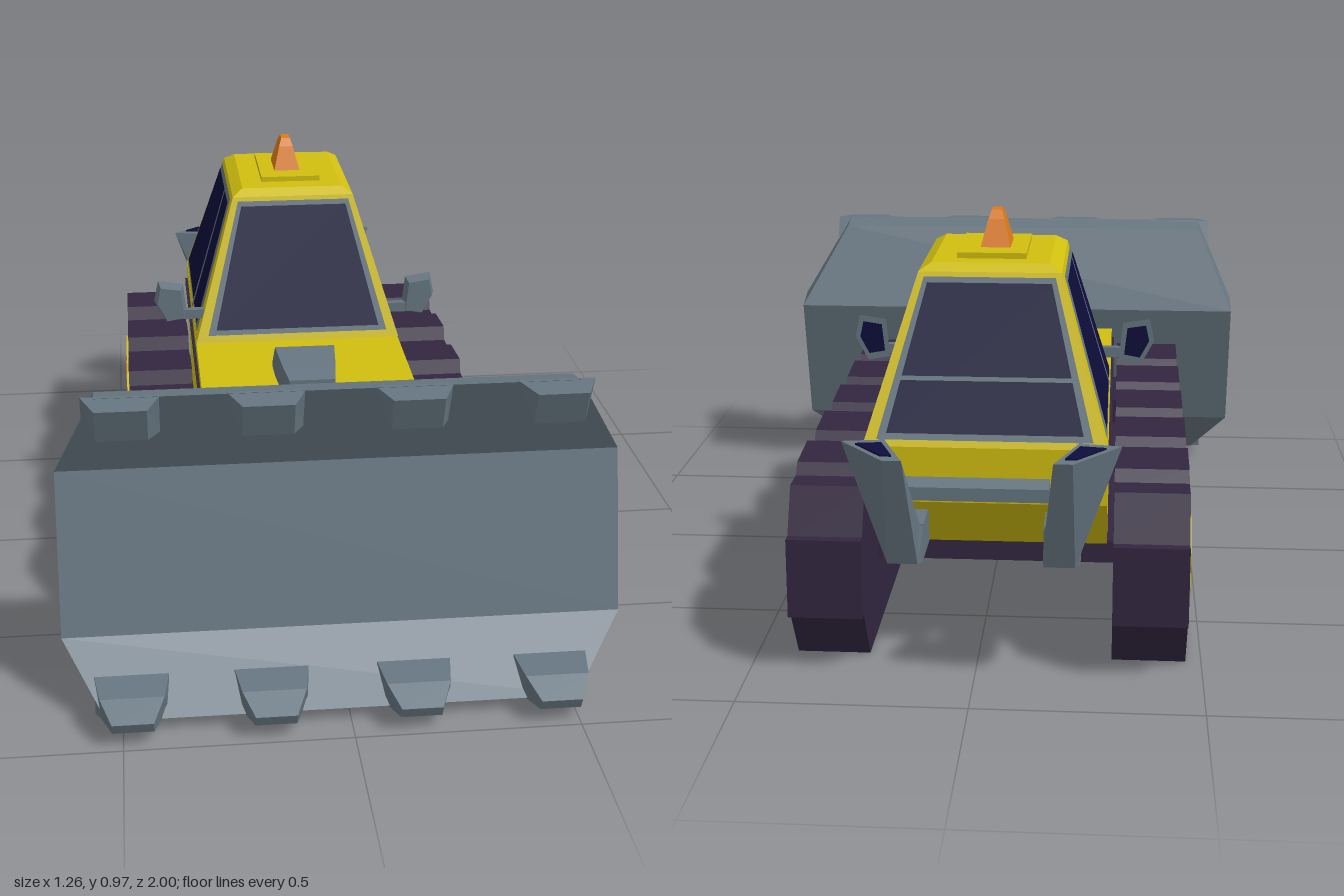
import * as THREE from 'three';

const mat = (name, color) => Object.assign(new THREE.MeshStandardMaterial({ color, flatShading: true }), { name });

export function createModel() {
  const yellow = mat('body yellow', 0xd0be10), steel = mat('steel grey', 0x667580);
  const dark = mat('track purple', 0x32263f), glass = mat('navy glass', 0x0d0d3a), orange = mat('orange', 0xdc7a14);
  const root = new THREE.Group();
  const CX = -0.02; // centre line of the machine

  const add = (name, geometry, material, parent = root) => {
    const m = new THREE.Mesh(geometry, material);
    m.name = name;
    parent.add(m);
    return m;
  };
  const fromTriangles = (tris) => {
    const g = new THREE.BufferGeometry();
    g.setAttribute('position', new THREE.Float32BufferAttribute(tris.flat(2), 3));
    g.computeVertexNormals();
    return g;
  };
  // closed solid through equal-sized rings of [x,y,z]; winding is corrected from its volume
  const loft = (rings) => {
    const t = [], n = rings[0].length;
    for (let r = 0; r < rings.length - 1; r++) for (let i = 0; i < n; i++) {
      const j = (i + 1) % n, a = rings[r], b = rings[r + 1];
      t.push([a[i], a[j], b[j]], [a[i], b[j], b[i]]);
    }
    const f = rings[0], l = rings[rings.length - 1];
    for (let i = 1; i < n - 1; i++) t.push([f[0], f[i + 1], f[i]], [l[0], l[i], l[i + 1]]);
    const vol = t.reduce((s, [a, b, c]) => s + a[0] * (b[1] * c[2] - b[2] * c[1])
      + a[1] * (b[2] * c[0] - b[0] * c[2]) + a[2] * (b[0] * c[1] - b[1] * c[0]), 0);
    return fromTriangles(vol < 0 ? t.map(([a, b, c]) => [a, c, b]) : t);
  };
  // convex [z,y] profile spread between two x positions
  const slab = (profile, x0, x1) => loft([x0, x1].map((x) => profile.map(([z, y]) => [x, y, z])));
  const box = (x0, x1, y0, y1, z0, z1) => slab([[z0, y0], [z1, y0], [z1, y1], [z0, y1]], x0, x1);
  const rect = (x0, x1, y, z0, z1) => [[x0, y, z1], [x1, y, z1], [x1, y, z0], [x0, y, z0]];

  // hull
  add('hull', slab([[0.47, 0.478], [-0.1, 0.495], [-0.775, 0.505], [-0.775, 0.38], [-0.58, 0.22], [0.47, 0.22]], -0.285, 0.25), yellow);
  add('underside', box(-0.3, 0.25, 0.17, 0.222, -0.57, 0.48), dark);
  add('hoodTrim', box(-0.292, 0.257, 0.44, 0.455, -0.76, 0.465), dark);

  // cab with framed windows
  const base = rect(-0.285, 0.25, 0.5, -0.775, -0.1), top = rect(-0.177, 0.14, 0.86, -0.614, -0.22);
  add('cab', loft([base, top, rect(-0.15, 0.113, 0.877, -0.59, -0.245)]), yellow);
  const pane = (face, u0, u1, v0, v1, lift) => {
    const j = (face + 1) % 4;
    const V = (p) => new THREE.Vector3(...p);
    const [a, b, c, d] = [base[face], base[j], top[j], top[face]].map(V);
    const n = b.clone().sub(a).cross(d.clone().sub(a)).normalize().multiplyScalar(lift);
    const at = (u, v) => a.clone().lerp(b, u).lerp(d.clone().lerp(c, u), v).add(n).toArray();
    const q = [at(u0, v0), at(u1, v0), at(u1, v1), at(u0, v1)];
    return fromTriangles([[q[0], q[1], q[2]], [q[0], q[2], q[3]]]);
  };
  ['front', 'left', 'rear', 'right'].forEach((side, i) => {
    add(side + 'WindowFrame', pane(i, 0.05, 0.95, 0.05, 0.97, 0.003), steel);
    add(side + 'WindowGlass', pane(i, 0.085, 0.915, 0.085, 0.935, 0.006), glass);
  });
  add('leftWindowBar', pane(1, 0.31, 0.35, 0.06, 0.96, 0.009), steel);
  add('rightWindowBar', pane(3, 0.65, 0.69, 0.06, 0.96, 0.009), steel);
  add('rearWindowBar', pane(2, 0.06, 0.94, 0.38, 0.405, 0.009), steel);

  // roof plate and beacon
  add('roofPlate', box(-0.095, 0.06, 0.87, 0.89, -0.545, -0.3), yellow);
  add('beacon', loft([rect(-0.056, 0.013, 0.888, -0.48, -0.36), rect(-0.04, -0.003, 0.95, -0.452, -0.385),
    rect(-0.033, -0.01, 0.97, -0.438, -0.398)]), orange);

  // hood intake
  add('intakeStem', box(-0.075, 0.03, 0.47, 0.53, 0.12, 0.26), steel);
  add('intake', loft([[0.1, 0.077, 0.51, 0.52], [0.15, 0.074, 0.502, 0.58], [0.27, 0.064, 0.5, 0.572], [0.335, 0.055, 0.52, 0.565]]
    .map(([z, w, y0, y1]) => [[-0.025 - w, y0, z], [-0.025 + w, y0, z], [-0.025 + w, y1, z], [-0.025 - w, y1, z]])), steel);

  // tracks and wheels
  const outer = [[0.465, 0], [0.545, 0.14], [0.545, 0.29], [0.47, 0.41], [-0.77, 0.41], [-0.825, 0.3], [-0.825, 0.14], [-0.73, 0]];
  const inner = [[0.445, 0.04], [0.505, 0.15], [0.505, 0.28], [0.445, 0.37], [-0.735, 0.37], [-0.785, 0.29], [-0.785, 0.15], [-0.71, 0.04]];
  const wheels = [[0.34, 0.125], [0.1, 0.111], [-0.125, 0.112], [-0.36, 0.12], [-0.6, 0.125]];
  [[1, 0.246, 0.41], [-1, -0.465, -0.3]].forEach(([s, x0, x1]) => {
    const g = new THREE.Group();
    g.name = s > 0 ? 'leftTrack' : 'rightTrack';
    root.add(g);
    const shape = new THREE.Shape(outer.map((p) => new THREE.Vector2(...p)));
    shape.holes.push(new THREE.Path(inner.map((p) => new THREE.Vector2(...p))));
    const belt = new THREE.ExtrudeGeometry(shape, { depth: x1 - x0, bevelEnabled: false });
    add('belt', belt.rotateY(-Math.PI / 2).translate(x1, 0, 0), dark, g);
    const face = s > 0 ? x1 : x0; // outer side
    add('trackCore', slab(inner, s > 0 ? x0 : x0 + 0.035, s > 0 ? x1 - 0.035 : x1), dark, g);
    for (let i = 0; i < 5; i++) {
      const z = 0.45 - i * 0.245;
      add('tread', slab([[z, 0.4], [z - 0.02, 0.445], [z - 0.15, 0.435], [z - 0.18, 0.4]], x0, x1), dark, g);
    }
    add('rearTread', box(x0, x1, 0.13, 0.31, -0.845, -0.81), dark, g);
    wheels.forEach(([z, r]) => {
      const disc = (name, r0, r1, sides, a, b, m) => {
        const d = new THREE.CylinderGeometry(r1, r0, b - a, sides).rotateZ(-s * Math.PI / 2);
        add(name, d.translate(face + s * (a + b) / 2, 0.21, z), m, g);
      };
      disc('wheel', r, r * 0.97, 9, -0.04, 0.008, yellow);
      disc('hub', 0.048, 0.048, 7, 0.006, 0.011, orange);
    });
  });

  // blade: rows of [front z, front y, back z, back y, right x, left x]
  add('blade', loft([[0.8, 0.735, 0.727, 0.72, -0.535, 0.505], [0.695, 0.522, 0.625, 0.497, -0.63, 0.628],
    [0.79, 0.16, 0.72, 0.147, -0.63, 0.628], [0.93, 0.03, 0.87, 0.01, -0.535, 0.505]]
    .map(([fz, fy, bz, by, l, r]) => [[l, fy, fz], [r, fy, fz], [r, by, bz], [l, by, bz]])), steel);
  const tooth = (name, x, rows) => add(name, loft(rows.map(([w, z0, y0, z1, y1]) =>
    [[x - w, y0, z0], [x + w, y0, z0], [x + w, y1, z1], [x - w, y1, z1]])), steel);
  [-0.478, -0.17, 0.147, 0.455].forEach((x) => {
    tooth('upperTooth', x, [[0.085, 0.74, 0.63, 0.79, 0.735], [0.055, 0.83, 0.65, 0.862, 0.73]]);
    tooth('lowerTooth', x, [[0.082, 0.87, 0.012, 0.86, 0.1], [0.07, 0.9, 0.02, 0.94, 0.092], [0.045, 0.985, 0.035, 0.997, 0.062]]);
  });
  [[-0.31, -0.272], [0.25, 0.292]].forEach(([x0, x1]) =>
    add('bladeArm', slab([[0.3, 0.25], [0.71, 0.215], [0.71, 0.275], [0.3, 0.315]], x0, x1), dark));

  // rear bar, and mirrors and flared exhausts on both sides
  add('rearBar', slab([[-0.77, 0.39], [-0.81, 0.395], [-0.81, 0.425], [-0.77, 0.44]], -0.16, 0.17), steel);
  [1, -1].forEach((s) => {
    const side = s > 0 ? 'left' : 'right';
    const M = (ring) => ring.map(([x, y, z]) => [CX + s * x, y, z]);
    add(side + 'ExhaustMount', loft([M(rect(0.13, 0.21, 0.27, -0.85, -0.72)), M(rect(0.13, 0.21, 0.35, -0.835, -0.72))]), steel);
    const lip = [[0.155, 0.545, -1], [0.195, 0.545, -1], [0.295, 0.553, -0.895], [0.205, 0.553, -0.88]];
    add(side + 'Exhaust', loft([
      M([[0.13, 0.27, -0.82], [0.205, 0.27, -0.82], [0.205, 0.34, -0.82], [0.13, 0.34, -0.82]]),
      M([[0.13, 0.27, -0.855], [0.205, 0.27, -0.855], [0.205, 0.345, -0.85], [0.13, 0.345, -0.85]]),
      M([[0.135, 0.285, -0.905], [0.2, 0.285, -0.905], [0.21, 0.36, -0.862], [0.135, 0.36, -0.862]]),
      M(lip)]), steel);
    const mid = [0, 1, 2].map((k) => lip.reduce((a, p) => a + p[k] / 4, 0));
    const hole = lip.map((p) => p.map((v, k) => mid[k] + (v - mid[k]) * 0.6));
    add(side + 'ExhaustOpening', loft([M(hole), M(hole.map(([x, y, z]) => [x, y + 0.004, z]))]), glass);

    const plate = (z, k) => M([[0.285, 0.55], [0.34, 0.54], [0.372, 0.6], [0.36, 0.655], [0.295, 0.645]]
      .map(([x, y]) => [0.33 + (x - 0.33) * k, 0.6 + (y - 0.6) * k, z]));
    add(side + 'Mirror', loft([plate(-0.135, 0.8), plate(-0.165, 1)]), steel);
    add(side + 'MirrorGlass', loft([plate(-0.164, 0.7), plate(-0.169, 0.7)]), glass);
    add(side + 'MirrorArm', loft([M(rect(0.22, 0.32, 0.555, -0.16, -0.14)), M(rect(0.22, 0.32, 0.58, -0.16, -0.14))]), steel);
  });
  return root;
}
